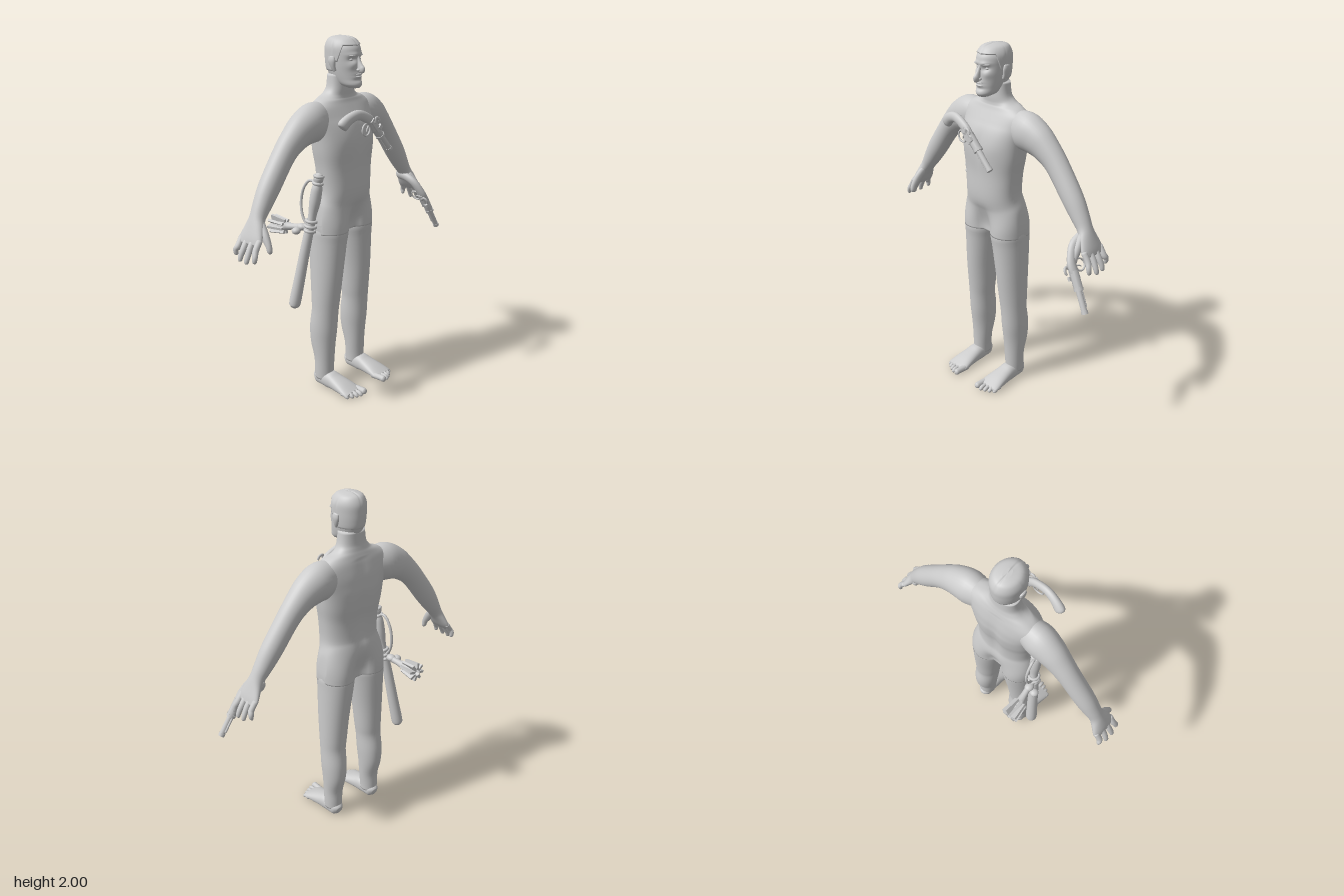
import * as THREE from 'three';

const grey = new THREE.MeshStandardMaterial({ color: 0xcccccc });
grey.name = 'plainGrey';
const Y = new THREE.Vector3(0, 1, 0), Z = new THREE.Vector3(0, 0, 1);

function add(parent, name, geometry) {
  const m = new THREE.Mesh(geometry, grey);
  m.name = name;
  parent.add(m);
  return m;
}

// Smoothly interpolated row of a table, t from 0 to 1
function sample(rows, t) {
  const p = t * (rows.length - 1), i = Math.min(Math.floor(p), rows.length - 2), f = p - i;
  const at = k => rows[Math.max(0, Math.min(rows.length - 1, k))];
  return rows[0].map((_, c) => {
    const a = at(i - 1)[c], b = at(i)[c], d = at(i + 1)[c], e = at(i + 2)[c];
    return b + 0.5 * f * (d - a + f * (2 * a - 5 * b + 4 * d - e + f * (3 * (b - d) + e - a)));
  });
}

// Closed skin through rings of points
function skin(rings) {
  const n = rings[0].length, pos = [], idx = [];
  rings.forEach(r => r.forEach(p => pos.push(p.x, p.y, p.z)));
  for (let i = 0; i < rings.length - 1; i++) for (let j = 0; j < n; j++) {
    const a = i * n + j, b = i * n + (j + 1) % n;
    idx.push(a, a + n, b, b, a + n, b + n);
  }
  const g = new THREE.BufferGeometry();
  g.setAttribute('position', new THREE.Float32BufferAttribute(pos, 3));
  g.setIndex(idx);
  g.computeVertexNormals();
  return g;
}

// Loft of ovals: each section is [x, y, z, half width, half depth along ref]
function loft(sections, { ref = Z, n = 20, steps = 4, power = 2, rule = null, side = 1 } = {}) {
  const count = (sections.length - 1) * steps, rows = [];
  for (let i = 0; i <= count; i++) rows.push(sample(sections, i / count));
  const c = rows.map(r => new THREE.Vector3(r[0] * side, r[1], r[2]));
  const rings = rows.map((r, i) => {
    const t = c[Math.min(i + 1, count)].clone().sub(c[Math.max(i - 1, 0)]).normalize();
    const u = t.clone().cross(ref).normalize(), v = u.clone().cross(t);
    return Array.from({ length: n }, (_, j) => {
      const w = j / n * Math.PI * 2, cs = Math.cos(w), sn = Math.sin(w);
      const e = q => Math.sign(q) * Math.abs(q) ** (2 / power);
      const p = c[i].clone().addScaledVector(u, e(cs) * r[3]).addScaledVector(v, e(sn) * r[4]);
      if (rule) rule(p);
      return p;
    });
  });
  const cap = i => { // gently domed end
    const other = c[i ? i - 1 : 1], r = rows[i];
    const p = c[i].clone().addScaledVector(c[i].clone().sub(other).normalize(), 0.3 * Math.min(r[3], r[4]));
    return Array.from({ length: n }, () => p);
  };
  return skin([cap(0), ...rings, cap(count)]);
}

const bump = (a, b, r, s) => Math.exp(-(a * a) / (r * r) - (b * b) / (s * s));

function blob(parent, name, x, y, z, a, b, c) {
  const m = add(parent, name, new THREE.SphereGeometry(1, 16, 12));
  m.position.set(x, y, z);
  m.scale.set(a, b, c);
  return m;
}

// Skull rows: [y, front z, back z, half width]
const SKULL = [[1.733, .135, .07, .03], [1.75, .146, .01, .052], [1.78, .14, -.04, .065], [1.82, .136, -.062, .074],
  [1.86, .135, -.069, .079], [1.9, .134, -.071, .081], [1.94, .128, -.07, .08], [1.97, .105, -.058, .067],
  [1.986, .08, -.04, .048], [1.994, .04, -.005, .012]];
function skullPoint(t, w, off) {
  const [y, f, b, h] = sample(SKULL, t);
  return new THREE.Vector3(Math.cos(w) * (h + off), y + off * t, (f + b) / 2 + Math.sin(w) * ((f - b) / 2 + off));
}

function buildHead(body) {
  const head = new THREE.Group();
  head.name = 'head';
  body.add(head);
  const N = 64, R = 60, rings = [];
  for (let i = 0; i <= R; i++) rings.push(Array.from({ length: N }, (_, j) => {
    const p = skullPoint(i / R, j / N * Math.PI * 2, 0), x = Math.abs(p.x);
    if (p.z > 0.06) { // eye sockets, brow, cheeks and mouth
      p.z += -0.014 * bump(x - .033, p.y - 1.882, .02, .014) + 0.007 * bump(x - .03, p.y - 1.908, .03, .009)
        + 0.005 * bump(x - .045, p.y - 1.85, .018, .018) + 0.007 * bump(x, p.y - 1.8, .025, .018)
        - 0.007 * bump(x, p.y - 1.8, .024, .004) - 0.007 * bump(x, p.y - 1.776, .03, .009);
    }
    return p;
  }));
  rings.unshift(rings[0].map(() => new THREE.Vector3(0, 1.732, .1)));
  add(head, 'face', skin(rings));
  // Hair cap, its edge running from forehead past the ears to the nape
  const hair = [];
  for (let i = -1; i <= 30; i++) hair.push(Array.from({ length: N }, (_, j) => {
    const w = j / N * Math.PI * 2, s = Math.sin(w);
    const low = s > .6 ? .71 : s > -.05 ? .47 + .24 * Math.min(1, Math.max(0, (s - .2) / .35)) : .33;
    const p = skullPoint(low + (1 - low) * Math.max(i, 0) / 30, w, i < 0 ? -.004 : .006);
    if (p.y > 1.93) p.y -= .004 * bump(p.x, 0, .004, 1); // parting
    return p;
  }));
  hair.push(hair[0].map(() => new THREE.Vector3(0, 2, .018)));
  add(head, 'hair', skin(hair));
  add(head, 'nose', loft([[0, 1.9, .124, .008, .01], [0, 1.87, .135, .009, .013], [0, 1.845, .145, .012, .02],
    [0, 1.832, .15, .014, .025], [0, 1.825, .145, .012, .018], [0, 1.82, .138, .008, .008]]));
  for (const s of [-1, 1]) {
    blob(head, 'eye', s * .033, 1.882, .106, .013, .007, .013);
    blob(head, 'nostril', s * .013, 1.829, .14, .007, .007, .011);
    const brow = blob(head, 'eyebrow', s * .036, 1.903, .121, .022, .004, .01);
    brow.rotation.set(0, s * .35, s * .1);
    add(head, 'ear', loft([[.076, 1.822, .035, .008, .01], [.083, 1.845, .028, .011, .016],
      [.088, 1.875, .024, .012, .023], [.088, 1.897, .022, .008, .018]], { side: s }));
  }
  for (const y of [1.806, 1.793]) blob(head, 'lip', 0, y, .135, .024, .005, .012);
}

function buildBody(body) {
  // Trunk and neck; the hips swell into the two thighs
  add(body, 'torso', loft([[0, .945, .013, .206, .112], [0, 1, .013, .207, .116], [0, 1.1, .018, .195, .117],
    [0, 1.18, .032, .175, .117], [0, 1.3, .032, .182, .117], [0, 1.4, .028, .197, .126], [0, 1.5, .02, .208, .125],
    [0, 1.57, .008, .225, .107], [0, 1.63, .001, .228, .085], [0, 1.67, 0, .175, .07], [0, 1.695, .002, .115, .063],
    [0, 1.73, .006, .086, .06], [0, 1.8, .006, .076, .055]], {
    n: 64, steps: 5, power: 2.3, rule: p => {
      const x = Math.abs(p.x), k = THREE.MathUtils.smoothstep(1.14 - p.y, 0, .17);
      const q = (x - .107) / .1045, thigh = .117 * Math.sqrt(Math.max(x < .107 ? .45 : 0, 1 - q * q));
      p.z += k * (.013 + Math.sign(p.z - .013) * thigh - p.z);
      if (p.z < -.02 && p.y < 1.66) p.z += .014 * bump(x, p.y - 1.35, .035, .25);
      if (p.z > .04) p.z += .006 * bump(x - .09, p.y - 1.46, .07, .06) - .006 * bump(x, p.y - 1.46, .02, .1);
    },
  }));
  for (const s of [-1, 1]) {
    const o = { side: s, n: 32 };
    add(body, 'leg', loft([[.106, 1, .013, .09, .1], [.107, .95, .013, .102, .116], [.112, .88, .011, .097, .112],
      [.125, .7, .012, .085, .098], [.132, .55, .01, .078, .085], [.136, .47, .008, .073, .079],
      [.138, .37, -.002, .072, .083], [.139, .28, -.005, .066, .077], [.14, .18, .004, .058, .06],
      [.142, .1, .004, .053, .057], [.142, .05, .004, .05, .056]], o));
    add(body, 'foot', loft([[.142, .036, -.054, .022, .028], [.142, .042, -.035, .04, .04], [.142, .046, .01, .046, .046],
      [.142, .046, .055, .05, .05], [.142, .041, .09, .053, .043], [.142, .031, .15, .062, .032], [.142, .02, .2, .068, .021],
      [.142, .015, .226, .063, .014]], { ...o, ref: Y, power: 2.3, rule: p => { p.y = Math.max(p.y, 0); } }));
    for (let k = 0; k < 5; k++) { // toes, big one inside
      const x = .093 + k * .025 + (k ? .006 : 0), r = k ? .0115 : .018, z = [.269, .266, .256, .243, .226][k];
      add(body, 'toe', loft([[x, .018, .18, r, r], [x, .02, z - .025, r, r], [x, r, z - .005, r, r],
        [x, r, z + .004, r * .6, r * .6]], { ref: Y, n: 12, side: s }));
    }
    add(body, 'arm', loft([[.11, 1.575, 0, .08, .06], [.21, 1.567, 0, .106, .086], [.29, 1.54, -.004, .094, .08],
      [.355, 1.498, -.008, .077, .069], [.43, 1.427, -.012, .064, .06], [.54, 1.283, -.012, .06, .056],
      [.6, 1.197, -.01, .049, .049], [.637, 1.143, -.007, .038, .045], [.663, 1.1, -.004, .031, .06],
      [.69, 1.05, -.004, .024, .076], [.706, 1.02, -.004, .016, .074]], o));
    for (let k = 0; k < 4; k++) { // fingers
      const z = -.064 + k * .041, d = [.022, .003, 0, .01][k], zt = z * 1.15;
      add(body, 'finger', loft([[.692, 1.05, z, .015, .017], [.722, 1.005, z, .016, .017],
        [.744 - d * .6, .965 + d, zt, .014, .015], [.752 - d, .942 + d, zt, .011, .012],
        [.754 - d, .935 + d, zt, .006, .007]], { n: 12, side: s }));
    }
    add(body, 'thumb', loft([[.645, 1.12, .02, .02, .024], [.657, 1.07, .06, .02, .024], [.663, 1.025, .09, .016, .018],
      [.664, .995, .1, .014, .015], [.664, .982, .103, .007, .007]], { n: 12, side: s }));
  }
}

// Pistol along +x with its grip curving down
function buildPistol(name) {
  const g = new THREE.Group();
  g.name = name;
  const rod = (part, x0, x1, y, r, sides) => {
    const m = add(g, part, new THREE.CylinderGeometry(r, r, x1 - x0, sides).rotateZ(Math.PI / 2));
    m.position.set((x0 + x1) / 2, y, 0);
  };
  add(g, 'grip', loft([[.02, -.005, 0, .022, .018], [-.03, .002, 0, .026, .019], [-.075, -.002, 0, .027, .02],
    [-.146, -.034, -.008, .027, .021], [-.178, -.09, -.02, .03, .023], [-.184, -.14, -.03, .034, .025],
    [-.184, -.152, -.032, .022, .016]]));
  rod('barrel', 0, .2, .004, .016, 12);
  rod('muzzleRing', .185, .203, .004, .018, 12);
  rod('breech', -.025, .07, .002, .024, 8);
  rod('breechRing', .065, .08, .002, .026, 12);
  rod('ramrod', .06, .17, -.016, .006, 8);
  add(g, 'triggerGuard', new THREE.TorusGeometry(.032, .005, 8, 24)).position.set(-.045, -.052, 0);
  add(g, 'trigger', loft([[-.045, -.02, 0, .005, .005], [-.042, -.045, 0, .004, .004], [-.034, -.058, 0, .003, .003]], { n: 8 }));
  add(g, 'hammer', loft([[-.035, 0, .024, .011, .006], [-.05, .026, .024, .009, .006], [-.03, .038, .024, .008, .006],
    [-.012, .032, .024, .006, .006]], { n: 10 }));
  add(g, 'lockPlate', new THREE.BoxGeometry(.09, .03, .008)).position.set(-.02, 0, .022);
  add(g, 'pan', new THREE.BoxGeometry(.022, .024, .016)).position.set(.012, .016, .024);
  return g;
}

function buildClub() {
  const g = new THREE.Group();
  g.name = 'sheathedClub';
  const lean = y => -.09 + .155 * (y - .52); // leans forward towards the top
  const turned = rows => loft(rows.map(([x, y, r]) => [x, y, lean(y), r, r]));
  // Handle and long sheath
  add(g, 'handle', turned([[-.23, 1.288, .018], [-.23, 1.265, .027], [-.231, 1.235, .023], [-.234, 1.2, .03],
    [-.239, 1.13, .031], [-.247, 1.05, .023], [-.255, .98, .025]]));
  add(g, 'sheath', turned([[-.255, .995, .026], [-.275, .85, .028], [-.295, .68, .031], [-.312, .545, .033],
    [-.315, .52, .026], [-.317, .508, .012]]));
  for (const [x, y, r] of [[-.23, 1.275, .022], [-.232, 1.235, .024], [-.25, 1.02, .027], [-.252, .99, .029], [-.254, .965, .027]]) {
    const ring = add(g, 'collar', new THREE.TorusGeometry(r, .009, 10, 24).rotateX(Math.PI / 2));
    ring.position.set(x, y, lean(y));
    ring.rotation.set(.15, 0, -.12);
  }
  // Cord looping behind the handle
  const strap = new THREE.CatmullRomCurve3([[-.235, 1.24, .005], [-.24, 1.245, -.03], [-.245, 1.2, -.068], [-.25, 1.12, -.085],
    [-.256, 1.04, -.07], [-.256, .99, -.035]].map(p => new THREE.Vector3(...p)));
  add(g, 'strap', new THREE.TubeGeometry(strap, 32, .008, 8));
  blob(g, 'knot', -.305, .965, -.075, .025, .02, .025);
  blob(g, 'knot', -.265, .98, -.07, .025, .02, .03);
  // Finned tassel reaching backwards
  add(g, 'tasselStem', loft([[-.258, .985, -.02, .018, .018], [-.264, .977, -.075, .018, .018], [-.27, .972, -.12, .018, .017],
    [-.276, .967, -.16, .024, .022], [-.282, .965, -.19, .03, .028], [-.285, .964, -.25, .02, .02]], { ref: Y, n: 14 }));
  for (let k = 0; k < 8; k++) {
    const w = k / 8 * Math.PI * 2 + .2;
    const fin = add(g, 'tasselFin', new THREE.BoxGeometry(.036, .014, .1).rotateY(-.13));
    fin.position.set(-.283 + Math.cos(w) * .028, .965 + Math.sin(w) * .031, -.221);
    fin.rotation.z = w;
  }
  return g;
}

export function createModel() {
  const model = new THREE.Group();
  model.name = 'figure';
  const body = new THREE.Group();
  body.name = 'body';
  body.position.x = -.027;
  model.add(body);
  buildBody(body);
  buildHead(body);
  const place = (g, x, y, z, ax, ay) => {
    const X = new THREE.Vector3(...ax).normalize(), S = X.clone().cross(new THREE.Vector3(...ay)).normalize();
    g.quaternion.setFromRotationMatrix(new THREE.Matrix4().makeBasis(X, S.clone().cross(X), S));
    g.position.set(x, y, z);
    model.add(g);
  };
  place(buildPistol('chestPistol'), 0, 1.53, .22, [.69, -.72, 0], [.72, .69, 0]);
  place(buildPistol('handPistol'), .668, .945, .122, [.487, -.873, .1], [0, 0, 1]);
  model.add(buildClub());
  return model;
}
